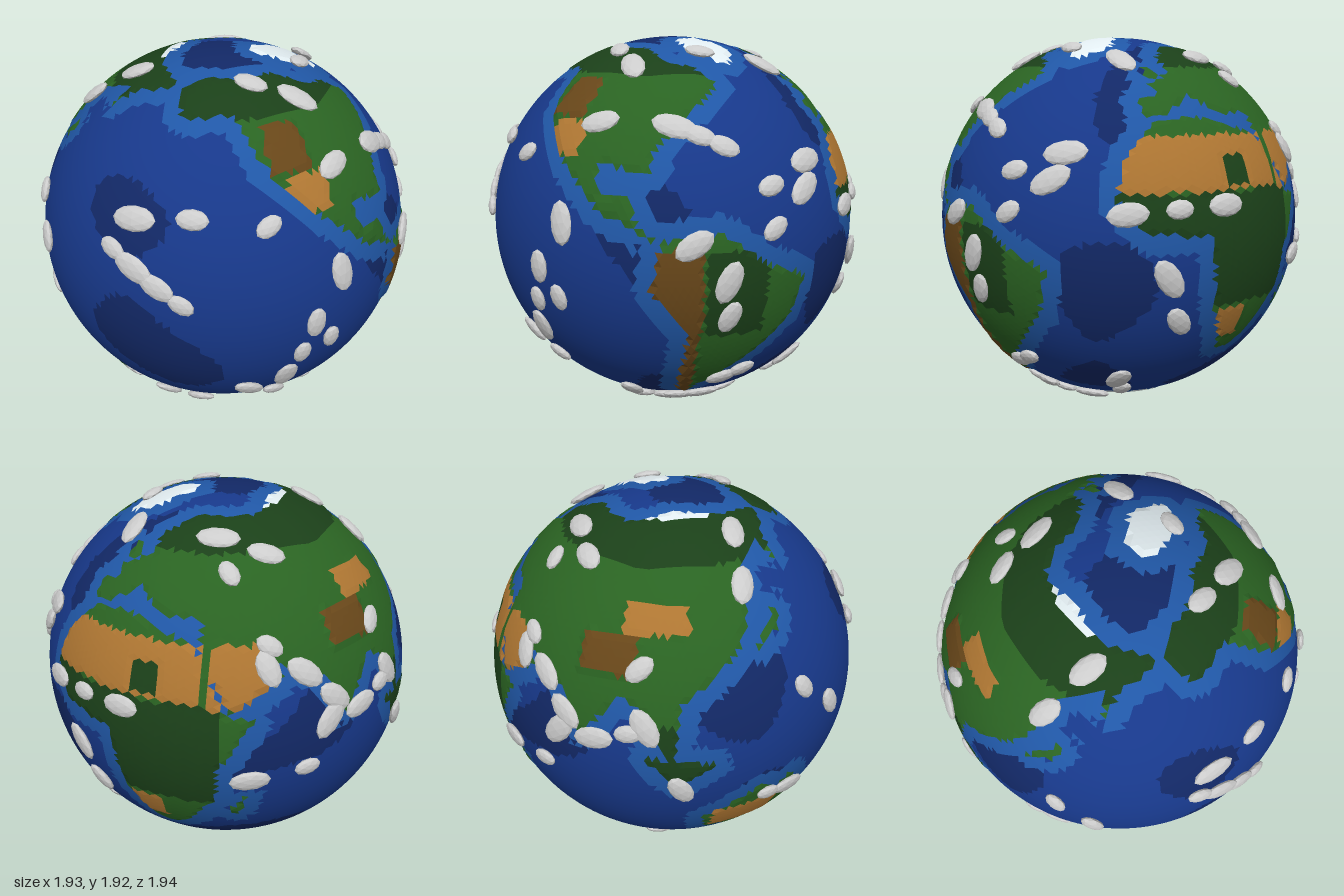
import * as THREE from 'three';

const R = 0.955;
const rad = THREE.MathUtils.degToRad, deg = THREE.MathUtils.radToDeg;

// Coarse coast outlines: longitude, latitude
const northAmerica = [-168, 66, -156, 71, -95, 71, -80, 63, -64, 60, -55, 52, -70, 42, -81, 31, -81, 25, -97, 28, -96, 19,
  -88, 20, -83, 9, -78, 8, -95, 15, -113, 30, -124, 40, -135, 58, -160, 56];
const southAmerica = [-78, 8, -62, 10, -50, 1, -36, -5, -39, -18, -54, -34, -66, -47, -69, -54, -74, -50, -71, -19, -81, -5];
const africa = [-6, 35, 10, 37, 33, 31, 43, 12, 51, 12, 40, -5, 40, -15, 32, -28, 26, -34, 19, -34, 12, -17, 9, 4, -9, 5, -17, 14, -15, 24];
const eurasia = [-9, 37, -9, 43, -2, 44, -4, 48, 8, 54, 6, 61, 20, 70, 70, 70, 105, 77, 180, 69, 190, 66, 163, 60, 157, 52,
  156, 60, 137, 55, 127, 35, 121, 30, 107, 20, 104, 1, 97, 17, 90, 22, 78, 8, 72, 20, 57, 26, 59, 22, 44, 13, 35, 28, 36, 37,
  22, 38, 10, 44, -1, 37];
const greenland = [-72, 78, -60, 82, -25, 82, -22, 70, -43, 60, -54, 67];
const australia = [114, -22, 131, -11, 138, -16, 142, -11, 153, -27, 148, -38, 132, -32, 116, -35];
const madagascar = [49, -12, 47, -25, 44, -22];
const newZealand = [174, -35, 178, -38, 167, -46];
const britain = [-5, 50, 1, 52, -4, 58];
const japan = [131, 32, 141, 36, 144, 43];
const sundaIslands = [96, 5, 106, -6, 117, 2];
const outlines = [northAmerica, southAmerica, africa, eurasia, greenland, australia, madagascar, newZealand, britain, japan, sundaIslands];

// Land regions: west, east, south, north
const OASIS = [[15, 24, 17, 25]];
const DESERT = [[-19, 36, 15.5, 31], [38, 56, 14, 31], [14, 24, -28, -18], [88, 110, 38, 46], [117, 140, -31, -19], [-119, -105, 29, 39]];
const MOUNTAINS = [[-124, -108, 40, 54], [76, 94, 27, 37], [-82, -67, -18, 6], [-76, -68, -54, -18]];
const FOREST = [[-66, -49, -20, 5], [-17, 41, -17, 15], [95, 118, -10, 14]];

// Each terrain: colour and height above the sea
const TERRAIN = {
  ocean: [0x17388a, 0], deepOcean: [0x122866, 0], shallows: [0x2057a6, 0], grassland: [0x2a6322, 0.006], forest: [0x1b4019, 0.006],
  desert: [0xae7632, 0.009], mountains: [0x674619, 0.014], ice: [0xe2edf1, 0.008],
};

const inBox = (list, lon, lat) => list.some(([w, e, s, n]) => lon > w && lon < e && lat > s && lat < n);

function inOutline(p, x, y) {
  let inside = false;
  for (let i = 0, j = p.length - 2; i < p.length; j = i, i += 2) {
    if ((p[i + 1] > y) !== (p[j + 1] > y) &&
      x < (p[j] - p[i]) * (y - p[i + 1]) / (p[j + 1] - p[i + 1]) + p[i]) inside = !inside;
  }
  return inside;
}

function isLand(lon, lat) {
  if (lat < -67) return true;
  const l = THREE.MathUtils.euclideanModulo(lon + 180, 360) - 180;
  return outlines.some(p => inOutline(p, l, lat) || inOutline(p, l + 360, lat));
}

// Terrain at a point: longitude 180 faces +z, longitude -90 faces +x
function terrainAt(p) {
  const lat = deg(Math.asin(THREE.MathUtils.clamp(p.y, -1, 1)));
  const lon = deg(Math.atan2(-p.x, -p.z));
  if (isLand(lon, lat)) {
    if (Math.abs(lat) > 72 && lon > -30 || lat < -60 || inOutline(greenland, lon, lat)) return 'ice';
    if (inBox(OASIS, lon, lat)) return 'forest';
    if (inBox(DESERT, lon, lat)) return 'desert';
    if (inBox(MOUNTAINS, lon, lat)) return 'mountains';
    return lat > 56 || inBox(FOREST, lon, lat) ? 'forest' : 'grassland';
  }
  // Shallow water lies within five degrees of a coast
  const shrink = Math.max(0.12, Math.cos(rad(lat)));
  for (let a = 0; a < 360; a += 30) {
    if (isLand(lon + 5 * Math.cos(rad(a)) / shrink, lat + 5 * Math.sin(rad(a)))) return 'shallows';
  }
  const depth = Math.sin(p.x * 7 + 2 * p.y) + Math.sin(p.y * 8 - 3 * p.z) + Math.sin(p.z * 7 + 3 * p.x);
  return depth > 1.1 ? 'deepOcean' : 'ocean';
}

// The globe: one fine sphere whose faces are sorted by terrain
function makeGlobe() {
  const globe = new THREE.Group();
  globe.name = 'globe';
  const pos = new THREE.IcosahedronGeometry(1, 31).attributes.position;
  const faces = {};
  for (const name in TERRAIN) faces[name] = { position: [], normal: [] };
  const heights = new Map();
  const heightAt = v => {
    const key = v.toArray().map(n => Math.round(n * 1e4)).join();
    if (!heights.has(key)) heights.set(key, TERRAIN[terrainAt(v)][1]);
    return heights.get(key);
  };
  for (let i = 0; i < pos.count; i += 3) {
    const corners = [0, 1, 2].map(k => new THREE.Vector3().fromBufferAttribute(pos, i + k));
    const middle = corners[0].clone().add(corners[1]).add(corners[2]).normalize();
    const face = faces[terrainAt(middle)];
    for (const c of corners) {
      face.normal.push(...c);
      face.position.push(...c.clone().multiplyScalar(R + heightAt(c)));
    }
  }
  for (const [name, [color, height]] of Object.entries(TERRAIN)) {
    const geometry = new THREE.BufferGeometry();
    for (const k in faces[name]) geometry.setAttribute(k, new THREE.Float32BufferAttribute(faces[name][k], 3));
    const mesh = new THREE.Mesh(geometry, new THREE.MeshStandardMaterial({ color, flatShading: height > 0 }));
    mesh.name = name;
    globe.add(mesh);
  }
  return globe;
}

// Banks of clouds, seen from a direction: start across and up, end across and up, count
const frontBanks = [[0.13, 0.3, 0.46, 0.11, 4], [0.2, 0.44, 0.43, 0.47, 2], [-0.39, 0.13, -0.53, 0.29, 2], [-0.66, -0.26, -0.56, -0.28, 2],
  [-0.12, -0.7, 0.33, -0.69, 2], [-0.46, 0.72, -0.24, 0.86, 2], [-0.55, -0.78, -0.45, -0.82, 2], [-0.92, 0.23, -0.91, -0.1, 2]];
const leftBanks = [[-0.51, 0.44, -0.13, 0.6, 2], [-0.26, 0.18, -0.29, -0.17, 2], [-0.39, -0.04, -0.44, -0.38, 3],
  [-0.55, -0.47, -0.4, -0.56, 2], [0.47, -0.22, 0.47, -0.05, 2], [0.33, 0.12, 0.36, 0.2, 1], [0.4, -0.61, 0.49, -0.57, 2],
  [0.2, 0.59, 0.41, 0.51, 3], [0.61, 0.34, 0.73, 0.42, 2], [-0.04, -0.82, 0.26, -0.8, 3], [-0.63, -0.7, -0.5, -0.78, 1]];
const topBanks = [[-0.29, 0.36, -0.48, 0.26, 2], [-0.9, 0.29, -0.83, -0.07, 2], [-0.71, 0.5, -0.43, 0.44, 2],
  [0.3, 0.21, 0.13, 0.48, 2], [0.31, -0.18, 0.48, -0.06, 2], [0.52, 0.74, 0.69, 0.64, 2]];
const backBanks = [[-0.72, -0.1, -0.36, -0.19, 3], [-0.6, -0.41, -0.52, -0.6, 2], [0.28, 0.11, 0.57, -0.1, 3],
  [0.69, -0.14, 0.78, -0.04, 2], [0.22, -0.5, 0.47, -0.43, 2]];
const southBanks = [[0.28, -0.46, 0.31, -0.34, 2], [-0.24, -0.56, 0.05, -0.61, 3], [-0.47, -0.52, -0.35, -0.66, 2]];

const puff = new THREE.IcosahedronGeometry(0.5, 1);
const cloudMaterial = new THREE.MeshStandardMaterial({ color: 0xcccccc, flatShading: true });

// Each cloud is a flattened low-poly puff lying on the sphere, roughly along its bank
function makeClouds(name, view, banks) {
  const clouds = new THREE.Group();
  clouds.name = name;
  const toward = new THREE.Vector3(...view).normalize();
  const pole = toward.y > 0.99 ? new THREE.Vector3(0, 0, -1) : new THREE.Vector3(0, 1, 0);
  const across = new THREE.Vector3().crossVectors(pole, toward).normalize();
  const up = new THREE.Vector3().crossVectors(toward, across);
  const onSphere = (u, v) => new THREE.Vector3().addScaledVector(across, u).addScaledVector(up, v)
    .addScaledVector(toward, Math.sqrt(Math.max(0.005, R * R - u * u - v * v))).normalize();
  for (const [u0, v0, u1, v1, count] of banks) {
    const start = onSphere(u0, v0), end = onSphere(u1, v1);
    for (let i = 0; i < count; i++) {
      const out = start.clone().lerp(end, i / Math.max(1, count - 1)).normalize();
      const along = end.clone().sub(start).addScaledVector(across, 0.1);
      along.addScaledVector(out, -along.dot(out)).normalize();
      const side = new THREE.Vector3().crossVectors(out, along);
      const length = 0.17 + 0.04 * Math.sin(u0 * 40 + i * 2);
      const cloud = new THREE.Mesh(puff, cloudMaterial);
      cloud.name = 'cloud';
      cloud.quaternion.setFromRotationMatrix(new THREE.Matrix4().makeBasis(along, side, out));
      cloud.position.copy(out).multiplyScalar(R + 0.014);
      cloud.scale.set(length, 0.04 + length * 0.36, 0.045);
      clouds.add(cloud);
    }
  }
  return clouds;
}

export function createModel() {
  const model = new THREE.Group();
  model.name = 'cloudyGlobe';
  model.add(
    makeGlobe(),
    makeClouds('frontClouds', [0, 0, 1], frontBanks),
    makeClouds('leftClouds', [1, 0, 0], leftBanks),
    makeClouds('topClouds', [0, 1, 0], topBanks),
    makeClouds('backClouds', [-0.53, 0.42, -0.73], backBanks),
    makeClouds('southClouds', [0.62, -0.42, -0.66], southBanks),
  );
  // Lift the globe so that it stands on the ground
  for (const part of model.children) part.position.set(0, 0.972, 0.005);
  return model;
}
